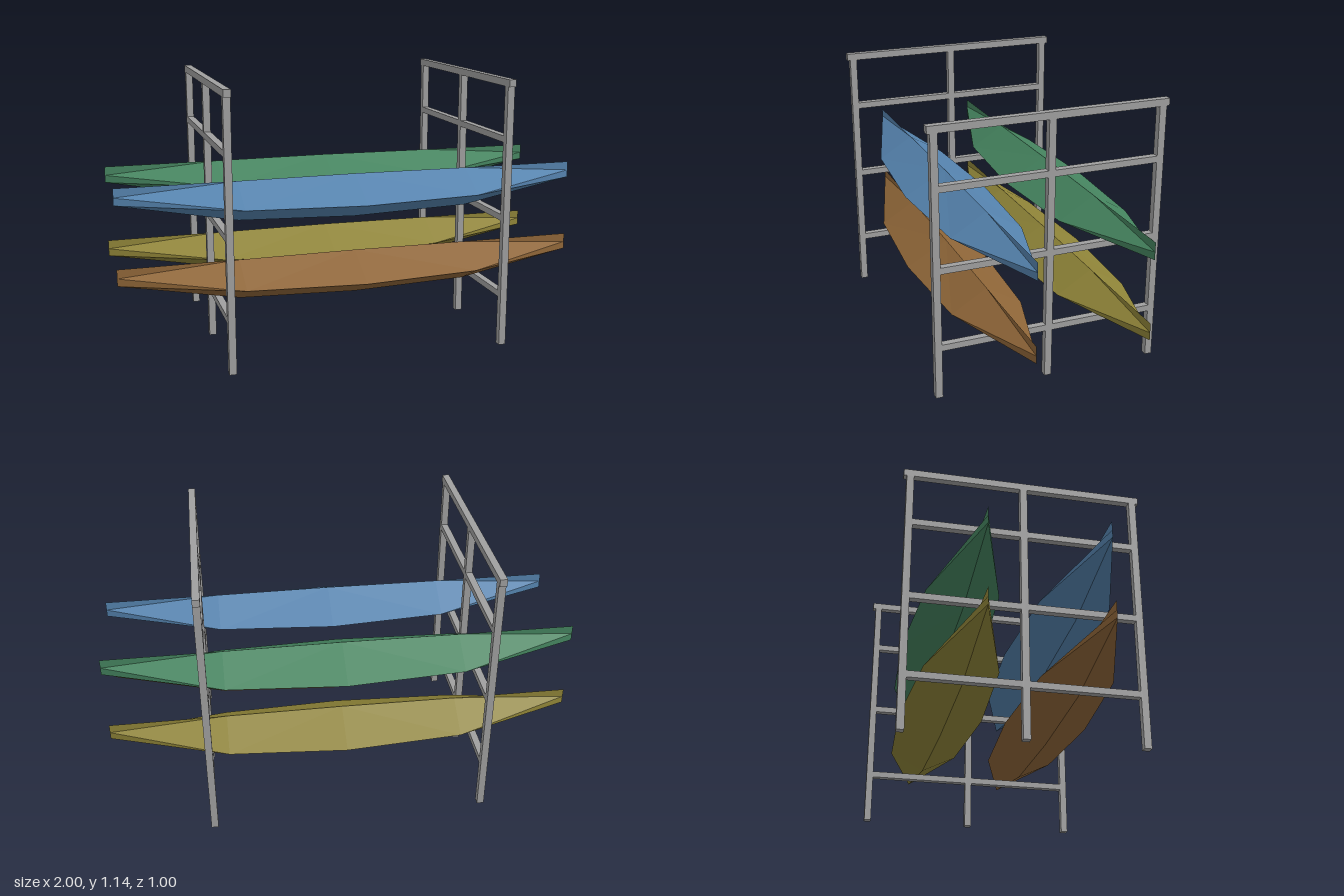
import * as THREE from 'three';

const paint = (name, color, flatShading = false) => {
  const m = new THREE.MeshStandardMaterial({ color, flatShading });
  m.name = name;
  return m;
};

// Diamond-section hull: [x, half width, ridge y, side y, keel y], pointed at both ends
function hullGeometry() {
  const sections = [
    [-1, 0, 0.73, 0.692, 0.66],
    [-0.5, 0.15, 0.731, 0.64, 0.566],
    [0, 0.181, 0.734, 0.634, 0.55],
    [0.5, 0.15, 0.731, 0.64, 0.566],
    [1, 0, 0.73, 0.692, 0.66],
  ];
  const rings = sections.map(([x, w, top, side, keel]) =>
    [[x, top, 0], [x, side, w], [x, keel, 0], [x, side, -w]]);
  const points = [];
  for (let i = 0; i < rings.length - 1; i++) {
    for (let k = 0; k < 4; k++) {
      const n = (k + 1) % 4;
      const a = rings[i][k], b = rings[i][n], c = rings[i + 1][k], d = rings[i + 1][n];
      // folds run from the low end of each tip up towards the middle
      const tris = (i < 2) === (k < 2) ? [a, b, c, b, d, c] : [a, b, d, a, d, c];
      points.push(...tris.flat());
    }
  }
  const geo = new THREE.BufferGeometry();
  geo.setAttribute('position', new THREE.Float32BufferAttribute(points, 3));
  geo.computeVertexNormals();
  return geo;
}

export function createModel() {
  const model = new THREE.Group();
  model.name = 'boatRack';
  const steel = paint('rackGrey', 0xa0a0a0);
  const t = 0.03;

  // Two rack frames
  for (const [side, x] of [['left', 0.584], ['right', -0.584]]) {
    const frame = new THREE.Group();
    frame.name = side + 'RackFrame';
    frame.position.x = x;
    const beam = (name, h, d, y, z) => {
      const mesh = new THREE.Mesh(new THREE.BoxGeometry(t, h, d), steel);
      mesh.name = name;
      mesh.position.set(0, y, z);
      frame.add(mesh);
    };
    beam('topRail', t, 1, 1.122, 0);
    beam('frontPost', 1.107, t, 0.5535, 0.473);
    beam('middlePost', 1.107, t, 0.5535, 0);
    beam('backPost', 1.107, t, 0.5535, -0.473);
    // Crossbars fill the gaps between posts
    for (const y of [0.223, 0.556, 0.889])
      for (const z of [0.2365, -0.2365]) beam('crossbar', 0.027, 0.443, y, z);
    model.add(frame);
  }

  // Four boats resting on the crossbars
  const hull = hullGeometry();
  const boats = [
    ['upperFrontBoat', 'blue', 0x5583ae, 0, 0.233],
    ['upperBackBoat', 'green', 0x45845f, 0, -0.233],
    ['lowerFrontBoat', 'brown', 0x8f6638, -0.333, 0.233],
    ['lowerBackBoat', 'olive', 0x8f8438, -0.333, -0.233],
  ];
  for (const [name, colorName, color, y, z] of boats) {
    const boat = new THREE.Mesh(hull, paint(colorName, color, true));
    boat.name = name;
    boat.position.set(0, y, z);
    model.add(boat);
  }
  return model;
}
